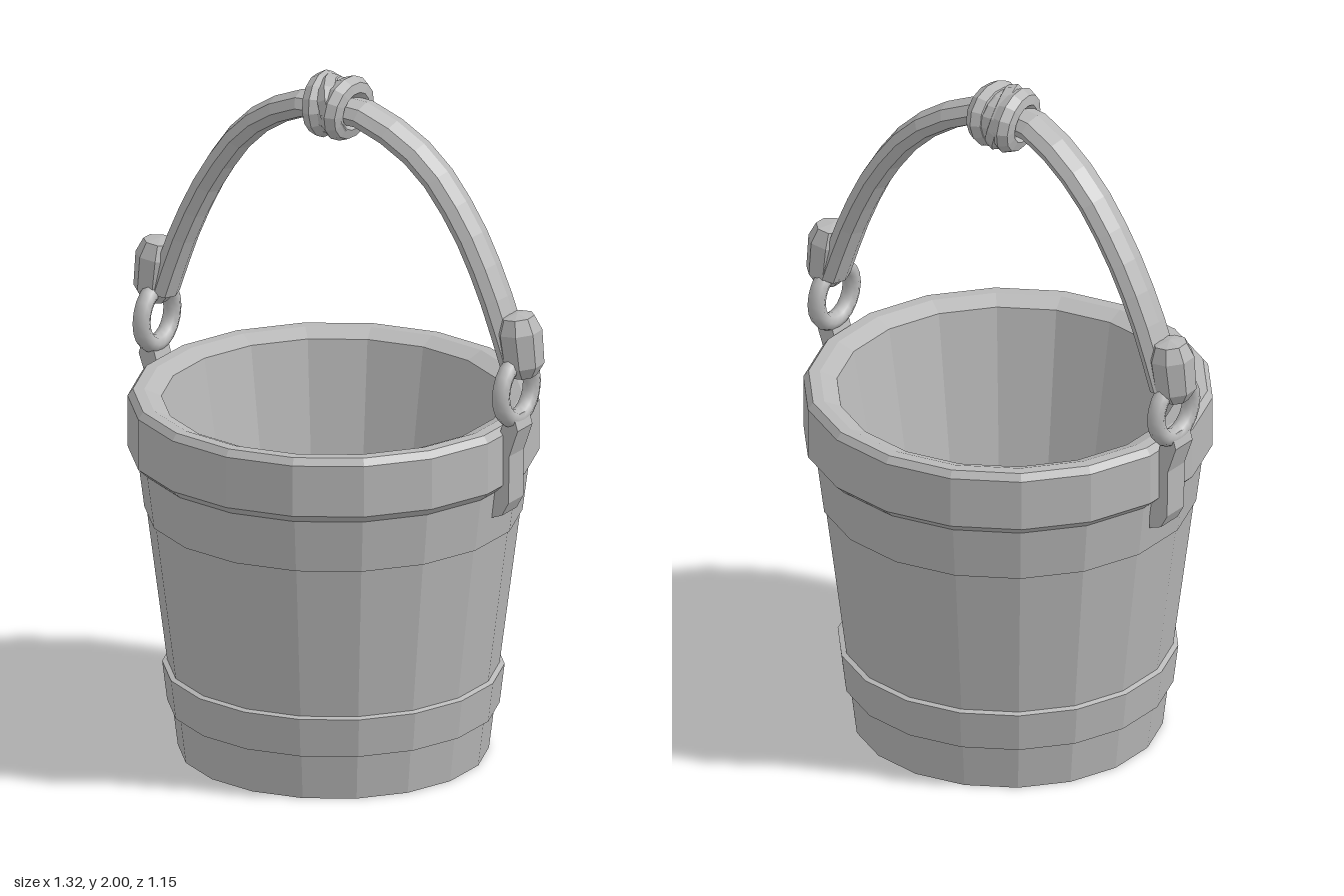
import * as THREE from 'three';

const grey = new THREE.MeshStandardMaterial({ color: 0xb8b8b8 });
grey.name = 'plain grey';

// Faceted look: every triangle gets its own normal
function faceted(geometry) {
  const g = geometry.index ? geometry.toNonIndexed() : geometry;
  g.computeVertexNormals();
  return g;
}

function add(parent, name, geometry) {
  const mesh = new THREE.Mesh(geometry, grey);
  mesh.name = name;
  parent.add(mesh);
  return mesh;
}

const lathe = (points, sides) => faceted(new THREE.LatheGeometry(points.map(([r, y]) => new THREE.Vector2(r, y)), sides));

// Hook strap, ring and rope end on one side (s = 1 left, -1 right)
function sideFittings(s) {
  const group = new THREE.Group();
  group.name = s > 0 ? 'leftFittings' : 'rightFittings';

  const outline = [[0.53, 0.785], [0.57, 0.8], [0.592, 0.84], [0.594, 0.98], [0.622, 1.06],
    [0.61, 1.1], [0.58, 1.1], [0.565, 1.05], [0.555, 0.9], [0.53, 0.86]];
  const shape = new THREE.Shape(outline.map(([x, y]) => new THREE.Vector2(s * x, y)));
  const strap = new THREE.ExtrudeGeometry(shape, { depth: 0.08, bevelEnabled: false });
  strap.translate(0, 0, -0.06);
  add(group, 'hookStrap', faceted(strap));

  const ring = add(group, 'ring', new THREE.TorusGeometry(0.083, 0.026, 8, 20));
  ring.rotation.y = Math.PI / 2;
  ring.position.set(s * 0.59, 1.165, -0.026);

  const end = lathe([[0, -0.095], [0.036, -0.09], [0.062, -0.055], [0.066, 0.045], [0.048, 0.088], [0, 0.097]], 8);
  const knob = add(group, 'ropeEnd', end);
  knob.position.set(s * 0.597, 1.295, -0.038);
  knob.rotation.set(0, Math.PI / 8, s * 0.1);
  return group;
}

export function createModel() {
  const model = new THREE.Group();
  model.name = 'bucket';

  // Tapered pail with two hoops, thick rim and hollow inside
  const pail = add(model, 'pail', lathe([
    [0, 0], [0.436, 0], [0.452, 0.13], [0.466, 0.135], [0.48, 0.25], [0.466, 0.255],
    [0.524, 0.708], [0.53, 0.71], [0.55, 0.865], [0.556, 0.87], [0.577, 0.89], [0.577, 1.04],
    [0.562, 1.06], [0.53, 1.06], [0.482, 1.04], [0.315, 0.1], [0, 0.1],
  ], 18));
  pail.position.x = 0.005;

  // Rope handle: a flattened eight-sided tube along an arch
  const flat = 1.45;
  const arch = [[-0.575, 1.24, -0.04], [-0.505, 1.43, -0.038], [-0.41, 1.62, -0.038], [-0.28, 1.79, -0.034],
    [-0.1, 1.895, -0.01], [0, 1.905, -0.005], [0.1, 1.895, -0.015], [0.28, 1.79, -0.034],
    [0.415, 1.62, -0.04], [0.51, 1.43, -0.04], [0.58, 1.24, -0.04]];
  const path = new THREE.CatmullRomCurve3(arch.map(([x, y, z]) => new THREE.Vector3(x, y, z / flat)));
  const rope = new THREE.TubeGeometry(path, 20, 0.04, 8, false);
  rope.scale(1, 1, flat);
  add(model, 'ropeHandle', faceted(rope));

  // Knot: a core wrapped by two loops and one crossing strand
  const knot = new THREE.Group();
  knot.name = 'knot';
  knot.position.set(0.002, 1.903, -0.017);
  model.add(knot);
  const core = new THREE.SphereGeometry(1, 10, 8);
  core.scale(0.065, 0.082, 0.095);
  add(knot, 'knotCore', faceted(core));
  for (const [x, yaw, lean] of [[-0.036, 0.1, 0.08], [0.036, -0.1, -0.08], [0, 0.35, 0.3]]) {
    const loop = new THREE.TorusGeometry(0.065, 0.034, 7, 14);
    loop.scale(1.06, 0.96, 1);
    loop.rotateY(Math.PI / 2 + yaw);
    loop.rotateZ(lean);
    loop.translate(x, 0, 0);
    add(knot, 'knotLoop', faceted(loop));
  }

  model.add(sideFittings(1), sideFittings(-1));
  return model;
}
